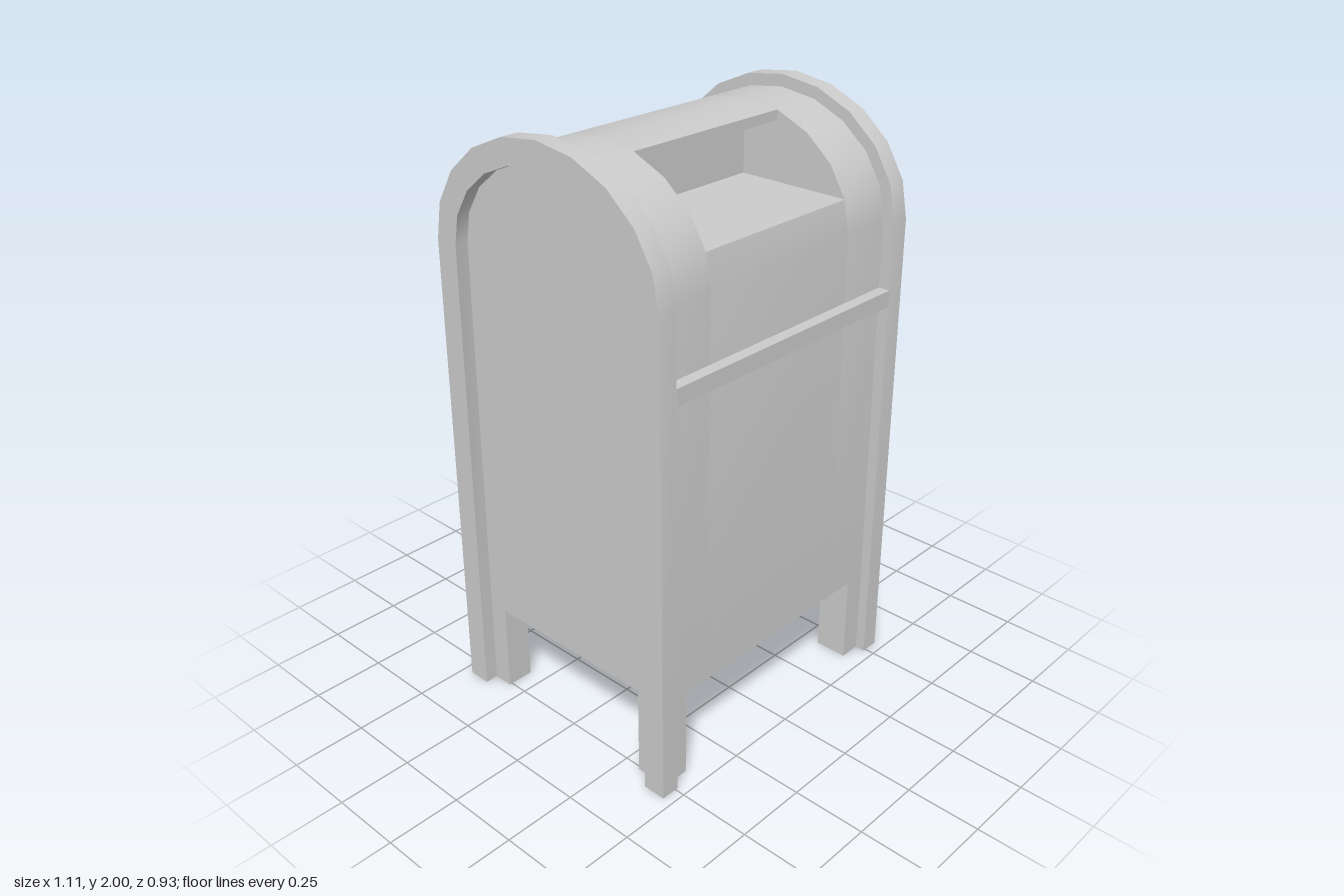
import * as THREE from 'three';
import { toCreasedNormals } from 'three/addons/utils/BufferGeometryUtils.js';

const SPRING = 1.61; // height where the arches begin

// Arched outline as [z, y] points, running from the front foot over the top to the back foot
function arch(footZ, springZ, rise, footY) {
  const pts = [[footZ, footY]];
  for (let k = 0; k <= 10; k++) {
    const a = (k / 10) * Math.PI;
    pts.push([springZ * Math.cos(a), SPRING + rise * Math.sin(a)]);
  }
  pts.push([-footZ, footY]);
  return pts;
}

// Extrude a [z, y] outline along x
function extrudeX(pts, x0, x1) {
  const shape = new THREE.Shape(pts.map(([z, y]) => new THREE.Vector2(-z, y)));
  const geo = new THREE.ExtrudeGeometry(shape, { depth: x1 - x0, bevelEnabled: false });
  geo.rotateY(Math.PI / 2);
  geo.translate(x0, 0, 0);
  return toCreasedNormals(geo, 0.5);
}

export function createModel() {
  const model = new THREE.Group();
  const material = new THREE.MeshStandardMaterial({ color: 0xcccccc });

  const add = (name, geometry, parent = model) => {
    const mesh = new THREE.Mesh(geometry, material);
    mesh.name = name;
    parent.add(mesh);
    return mesh;
  };
  const box = (x0, x1, y0, y1, z0, z1) =>
    new THREE.BoxGeometry(x1 - x0, y1 - y0, z1 - z0)
      .translate((x0 + x1) / 2, (y0 + y1) / 2, (z0 + z1) / 2);

  // Body: two full side sections and a centre section with the deposit slot cut in
  const body = new THREE.Group();
  body.name = 'body';
  model.add(body);
  const profile = arch(0.43, 0.42, 0.35, 0.31);
  const slotFloor = profile[2][1];
  const slotTop = profile[5];
  const slotted = [
    ...profile.slice(0, 3),
    [0, slotFloor], [0, 1.91], [slotTop[0], 1.91],
    ...profile.slice(5),
  ];
  add('bodyRight', extrudeX(profile, -0.51, -0.31), body);
  add('bodyCentreWithSlot', extrudeX(slotted, -0.31, 0.31), body);
  add('bodyLeft', extrudeX(profile, 0.31, 0.51), body);

  // Raised arched rims around both ends, reaching down to the ground
  const rim = [
    ...arch(0.465, 0.46, 0.39, 0),
    ...arch(0.385, 0.377, 0.31, 0).reverse(),
  ];
  add('rightRim', extrudeX(rim, -0.555, -0.49));
  add('leftRim', extrudeX(rim, 0.49, 0.555));

  // Horizontal bar across the front
  add('frontBar', box(-0.49, 0.49, 1.335, 1.39, 0.4, 0.461));

  // Four square legs
  for (const sx of [-1, 1]) {
    for (const sz of [-1, 1]) {
      const leg = add((sz > 0 ? 'front' : 'back') + (sx > 0 ? 'Left' : 'Right') + 'Leg',
        box(-0.0475, 0.0475, 0, 0.31, -0.0575, 0.0575));
      leg.position.set(sx * 0.4625, 0, sz * 0.3725);
    }
  }

  return model;
}
